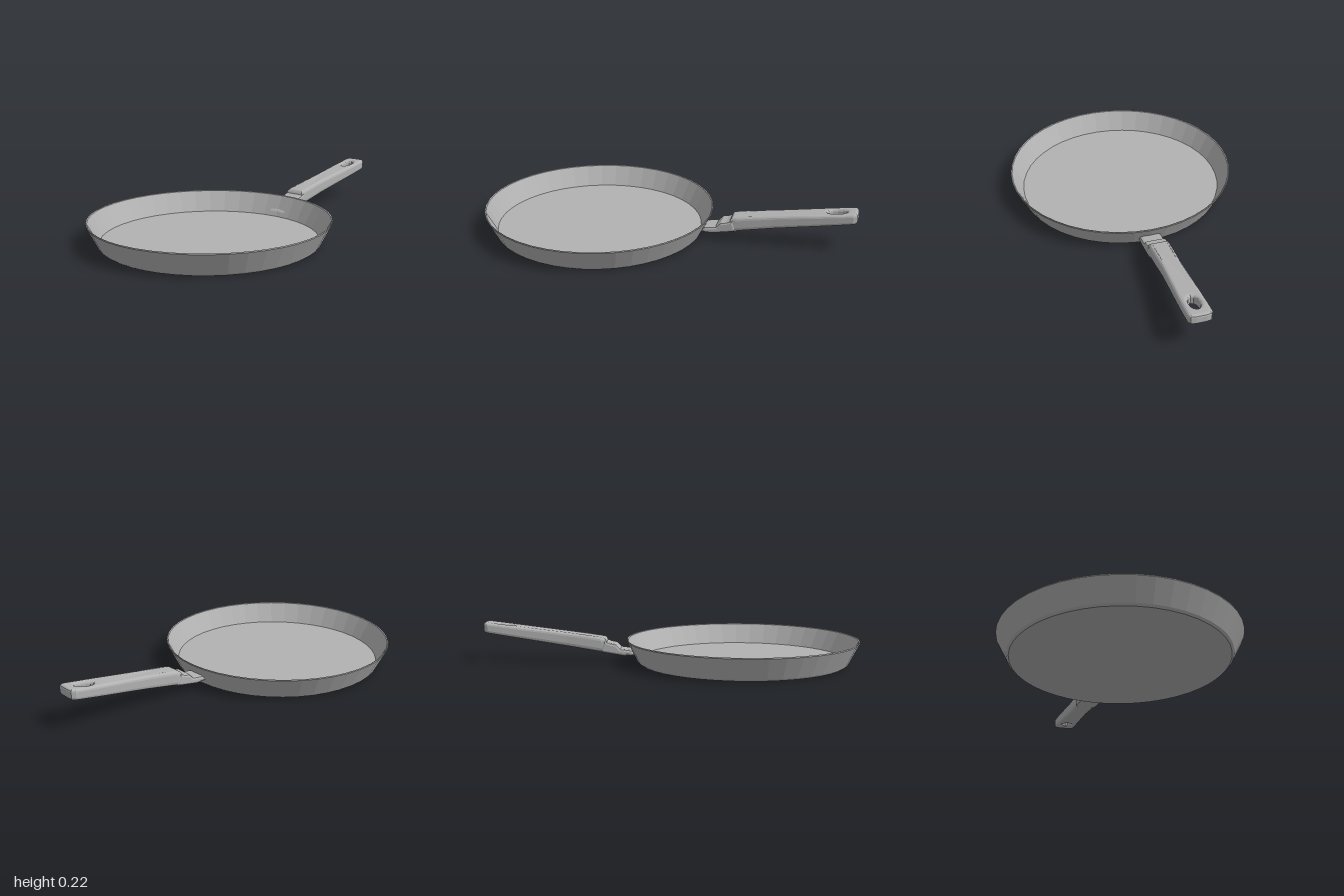
import * as THREE from 'three';

const metal = new THREE.MeshStandardMaterial({ color: 0xb2b2b2 });
metal.name = 'grey metal';

// Unshared vertices give each face its own normal
function facetedMesh(name, geometry) {
  const geo = geometry.index ? geometry.toNonIndexed() : geometry;
  geo.computeVertexNormals();
  const mesh = new THREE.Mesh(geo, metal);
  mesh.name = name;
  return mesh;
}

const points = (list) => list.map(([x, y]) => new THREE.Vector2(x, y));

// Shallow pan with flared wall
function createPan() {
  const profile = points([
    [0, 0], [0.55, 0], [0.562, 0.01], [0.618, 0.119], [0.617, 0.125],
    [0.611, 0.122], [0.554, 0.016], [0, 0.014],
  ]);
  const pan = facetedMesh('pan', new THREE.LatheGeometry(profile, 44));
  pan.position.z = 0.38;
  return pan;
}

// Bracket joining the wall and the grip: side profile (distance back, height)
function createBracket() {
  const side = new THREE.Shape(points([
    [0.18, 0.042], [0.25, 0.036], [0.38, 0.058], [0.36, 0.12],
    [0.325, 0.106], [0.295, 0.1], [0.27, 0.075], [0.21, 0.068],
  ]));
  const geo = new THREE.ExtrudeGeometry(side, {
    depth: 0.088, bevelThickness: 0.014, bevelSize: 0.012, bevelOffset: -0.012, bevelSegments: 2,
  });
  geo.translate(0, 0, -0.044).rotateY(Math.PI / 2);
  return facetedMesh('handleBracket', geo);
}

// Rising grip: plan outline with a hanging hole, thickness set by a rule
function createGrip() {
  const edge = [
    [0.051, 0.32], [0.055, 0.36], [0.054, 0.45], [0.051, 0.56], [0.054, 0.68],
    [0.058, 0.8], [0.06, 0.9], [0.06, 0.975], [0.05, 0.995], [0.025, 1],
  ];
  const mirrored = edge.map(([x, s]) => [-x, s]).reverse();
  const outline = new THREE.Shape(points([...edge, ...mirrored]));
  const hole = [];
  for (let i = 0; i < 12; i++) {
    const a = -i * Math.PI / 6;
    hole.push([0.027 * Math.cos(a), 0.893 + 0.05 * Math.sin(a)]);
  }
  outline.holes.push(new THREE.Path(points(hole)));

  const geo = new THREE.ExtrudeGeometry(outline, {
    depth: 0.03, bevelThickness: 0.015, bevelSize: 0.016, bevelOffset: -0.016, bevelSegments: 3,
  });
  geo.rotateX(-Math.PI / 2);
  const p = geo.attributes.position;
  for (let i = 0; i < p.count; i++) {
    const s = -p.getZ(i);
    const t = (p.getY(i) + 0.015) / 0.06;
    const k = (s - 0.32) / 0.68;
    const bottom = 0.05 + 0.112 * k;
    const top = 0.132 + 0.085 * k;
    // The front end leans back towards its top
    const lean = 0.03 * t * Math.max(0, 1 - k * 6);
    p.setY(i, bottom + (top - bottom) * t);
    p.setZ(i, -(s + lean));
  }
  return facetedMesh('handleGrip', geo);
}

export function createModel() {
  const model = new THREE.Group();
  model.name = 'fryingPan';
  model.add(createPan(), createBracket(), createGrip());
  return model;
}
